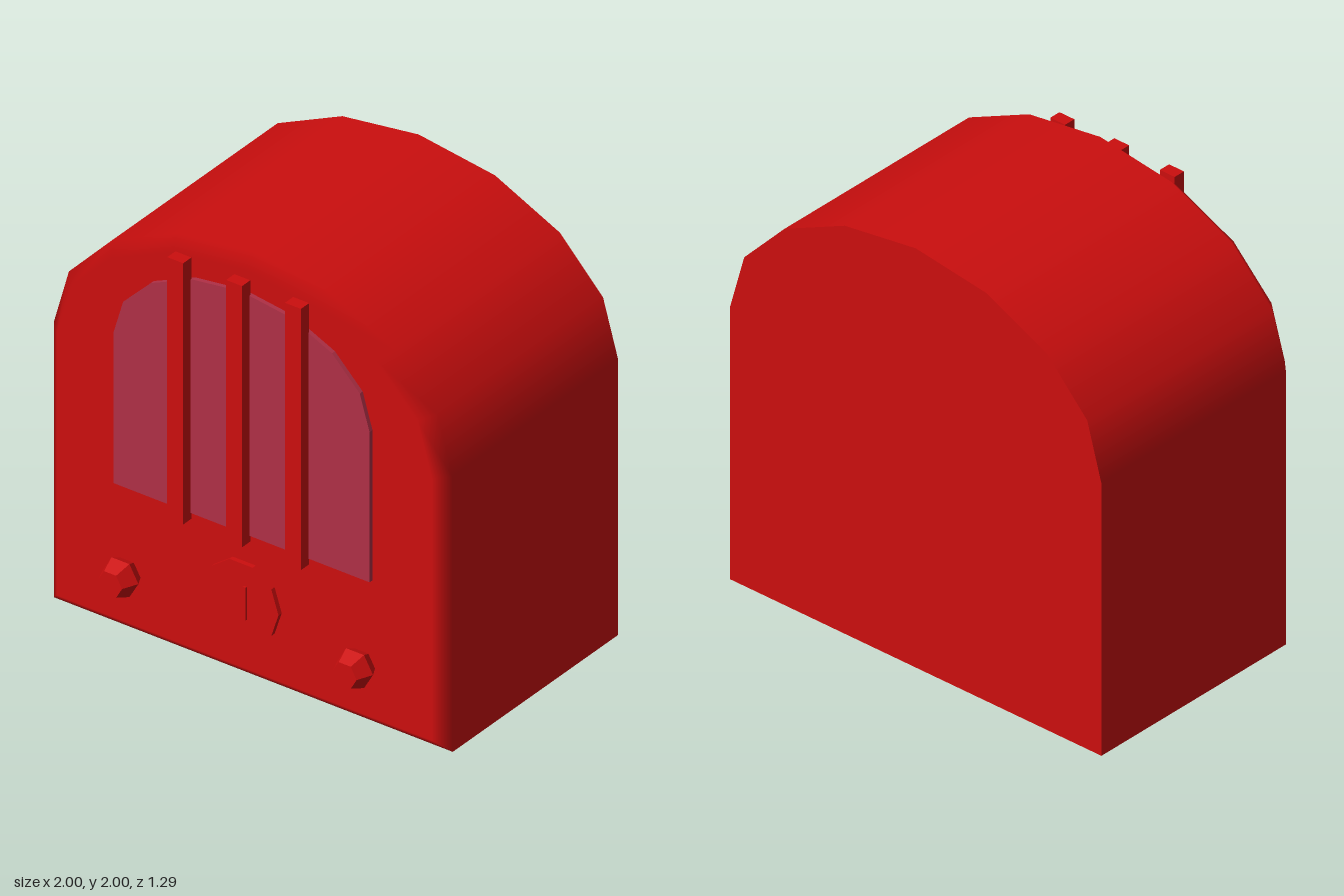
import * as THREE from 'three';

const red = new THREE.MeshStandardMaterial({ color: 0xcc0e0e });
red.name = 'red casing';
const mauve = new THREE.MeshStandardMaterial({ color: 0xb03046 });
mauve.name = 'mauve speaker cloth';

// Arched outline, counter-clockwise from bottom right to bottom left
function archPoints(halfWidth, bottom, spring, rise) {
  const pts = [new THREE.Vector2(halfWidth, bottom)];
  for (let i = 0; i <= 8; i++) {
    const a = (i / 8) * Math.PI;
    pts.push(new THREE.Vector2(halfWidth * Math.cos(a), spring + rise * Math.sin(a)));
  }
  pts.push(new THREE.Vector2(-halfWidth, bottom));
  return pts;
}

// Outward direction at each point of the arched outline
function archNormals(halfWidth, rise) {
  const normals = [new THREE.Vector2(1, 0)];
  for (let i = 0; i <= 8; i++) {
    const a = (i / 8) * Math.PI;
    normals.push(new THREE.Vector2(Math.cos(a) / halfWidth, Math.sin(a) / rise).normalize());
  }
  normals.push(new THREE.Vector2(-1, 0));
  return normals;
}

// Smooth strip through rings of { pts, z, normals }; a ring without normals faces forward
function strip(rings) {
  const pos = [], nor = [], index = [];
  const n = rings[0].pts.length;
  rings.forEach(({ pts, z, normals }, r) => {
    pts.forEach((p, i) => {
      pos.push(p.x, p.y, z);
      if (normals) nor.push(normals[i].x, normals[i].y, 0);
      else nor.push(0, 0, 1);
      if (r > 0 && i < n - 1) {
        const a = (r - 1) * n + i, d = r * n + i;
        index.push(a, a + 1, d + 1, a, d + 1, d);
      }
    });
  });
  const g = new THREE.BufferGeometry();
  g.setAttribute('position', new THREE.Float32BufferAttribute(pos, 3));
  g.setAttribute('normal', new THREE.Float32BufferAttribute(nor, 3));
  g.setIndex(index);
  return g;
}

export function createModel() {
  const model = new THREE.Group();
  model.name = 'tabletopRadio';
  function add(name, geometry, material, x = 0, y = 0, z = 0, parent = model) {
    const mesh = new THREE.Mesh(geometry, material);
    mesh.name = name;
    mesh.position.set(x, y, z);
    parent.add(mesh);
    return mesh;
  }

  // Casing: arched shell with a softened front edge
  const back = -0.65, edge = 0.47, front = 0.53, bevel = 0.06;
  const casing = new THREE.Group();
  casing.name = 'casing';
  model.add(casing);
  const outer = archPoints(1, 0, 1.3, 0.7);
  const inner = archPoints(1 - bevel, bevel, 1.3, 0.7 - bevel);
  const normals = archNormals(1, 0.7);
  add('casingArch', strip([
    { pts: outer, z: back, normals },
    { pts: outer, z: edge, normals },
    { pts: inner, z: front },
  ]), red, 0, 0, 0, casing);

  // Flat underside with its own bevel
  const ends = (pts) => [pts[pts.length - 1], pts[0]];
  const down = [new THREE.Vector2(0, -1), new THREE.Vector2(0, -1)];
  add('casingBottom', strip([
    { pts: ends(outer), z: back, normals: down },
    { pts: ends(outer), z: edge, normals: down },
    { pts: ends(inner), z: front },
  ]), red, 0, 0, 0, casing);

  add('casingFront', new THREE.ShapeGeometry(new THREE.Shape(inner)), red, 0, 0, front, casing);
  add('casingBack', new THREE.ShapeGeometry(new THREE.Shape(outer)).rotateY(Math.PI), red, 0, 0, back, casing);

  // Speaker cloth
  const cloth = new THREE.Shape(archPoints(0.642, 0.71, 1.42, 0.43));
  add('speakerCloth', new THREE.ExtrudeGeometry(cloth, { depth: 0.03, bevelEnabled: false }), mauve, 0, 0, 0.52);

  // Vertical bars over the cloth
  for (const x of [-0.295, 0, 0.295]) {
    add('speakerBar', new THREE.BoxGeometry(0.08, 1.235, 0.056), red, x, 1.2975, 0.572);
  }

  // Tuning dial and its pointer
  const dial = new THREE.CylinderGeometry(0.187, 0.187, 0.04, 10, 1, false, Math.PI / 2)
    .rotateX(Math.PI / 2).toNonIndexed();
  dial.computeVertexNormals();
  add('tuningDial', dial, red, 0, 0.388, 0.532);
  add('dialPointer', new THREE.BoxGeometry(0.014, 0.155, 0.02), red, 0.022, 0.388, 0.552);

  // Faceted knobs
  const profile = [[0, 0.52], [0.062, 0.52], [0.09, 0.575], [0.06, 0.645], [0, 0.645]]
    .map(([r, z]) => new THREE.Vector2(r, z));
  const knob = new THREE.LatheGeometry(profile, 6, Math.PI / 2)
    .rotateX(Math.PI / 2).toNonIndexed();
  knob.computeVertexNormals();
  for (const side of [-1, 1]) {
    add(side > 0 ? 'leftKnob' : 'rightKnob', knob, red, side * 0.588, 0.297, 0);
  }

  return model;
}
